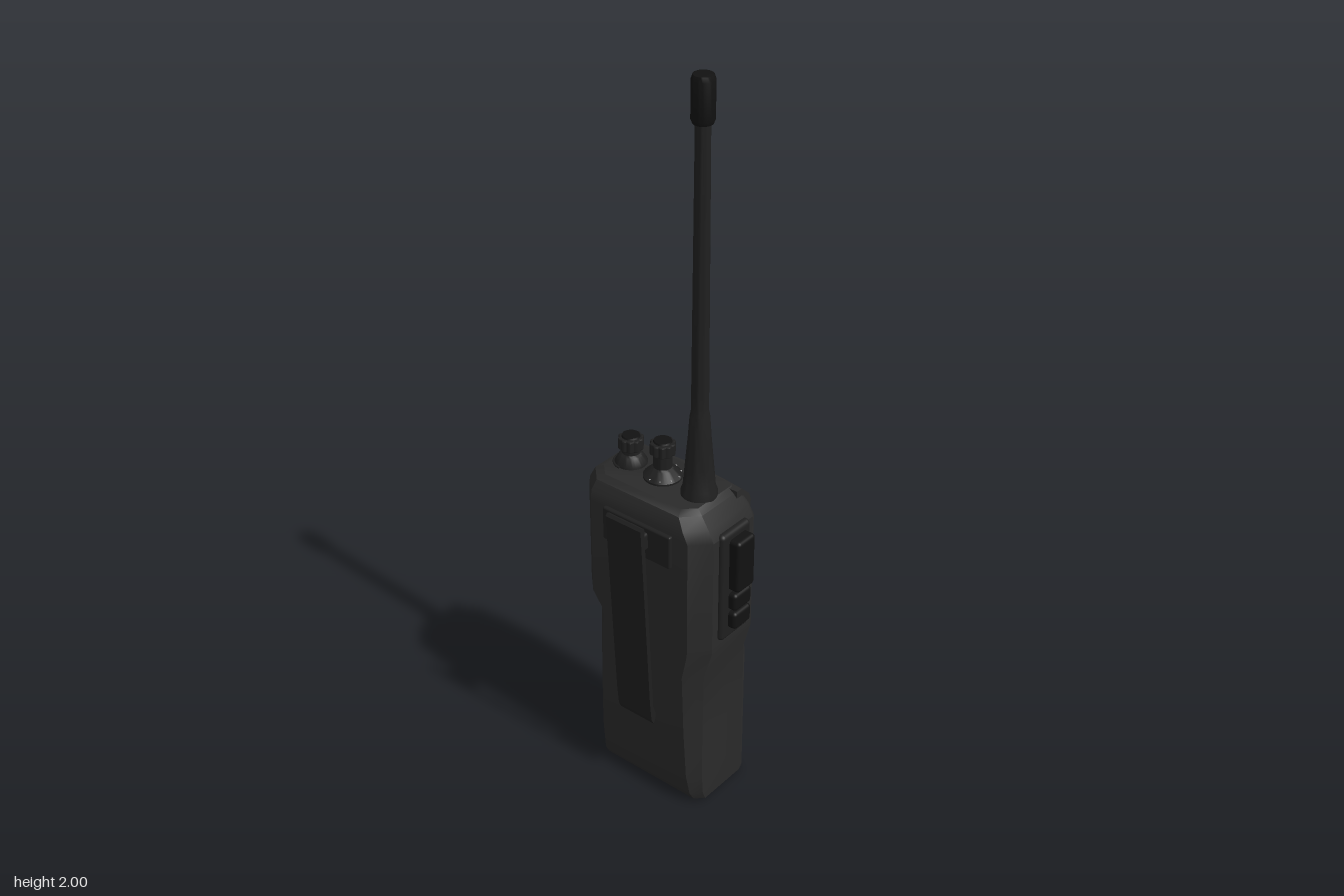
import * as THREE from 'three';
import { toCreasedNormals } from 'three/addons/utils/BufferGeometryUtils.js';
import { RoundedBoxGeometry } from 'three/addons/geometries/RoundedBoxGeometry.js';

const paint = (color) => new THREE.MeshStandardMaterial({ color });
const shell = paint(0x2a2a2a);
const rubber = paint(0x1f1f1f);
const black = paint(0x121212);
const metal = paint(0x999999);

function add(parent, name, geometry, material, x = 0, y = 0, z = 0) {
  const mesh = new THREE.Mesh(geometry, material);
  mesh.name = name;
  mesh.position.set(x, y, z);
  parent.add(mesh);
  return mesh;
}

// Rounded block given by its ranges along each axis
function block(parent, name, [x0, x1], [y0, y1], [z0, z1], r, material) {
  const g = new RoundedBoxGeometry(x1 - x0, y1 - y0, z1 - z0, 3, r);
  return add(parent, name, g, material, (x0 + x1) / 2, (y0 + y1) / 2, (z0 + z1) / 2);
}

// Skin through horizontal rings { y, pts: [[x, z], ...] }, capped at both ends
function loft(rings, crease = 0.5) {
  const n = rings[0].pts.length, pos = [], idx = [];
  for (const { y, pts } of rings) for (const [x, z] of pts) pos.push(x, y, z);
  for (let i = 0; i < rings.length - 1; i++) {
    for (let j = 0; j < n; j++) {
      const k = (j + 1) % n, a = i * n + j, b = i * n + k;
      idx.push(a, b, b + n, a, b + n, a + n);
    }
  }
  const last = (rings.length - 1) * n;
  for (let j = 1; j < n - 1; j++) idx.push(last, last + j, last + j + 1, 0, j + 1, j);
  const g = new THREE.BufferGeometry();
  g.setAttribute('position', new THREE.Float32BufferAttribute(pos, 3));
  g.setIndex(idx);
  return toCreasedNormals(g, crease);
}

// Case section: chamfered at the back (c), small rounding at the front (r)
function caseRing(y, xb, xf, z0, z1, c, r = 0.012) {
  return { y, pts: [
    [xf, z1 - r], [xf, z0 + r], [xf - r * 0.3, z0 + r * 0.3], [xf - r, z0],
    [xb + c, z0], [xb, z0 + c], [xb, z1 - c], [xb + c, z1],
    [xf - r, z1], [xf - r * 0.3, z1 - r * 0.3],
  ] };
}

// Face section: a shallow bow from z1 to z0
function faceRing(y, edge, bulge, z0 = -0.165, z1 = 0.145) {
  const pts = [], n = 14;
  for (let i = 0; i <= n; i++) {
    const t = (2 * i) / n - 1;
    pts.push([edge + bulge * (1 - t * t), z1 + ((z0 - z1) * i) / n]);
  }
  pts.push([0.08, z0], [0.08, z1]);
  return { y, pts };
}

const lathe = (profile, seg = 32) =>
  toCreasedNormals(new THREE.LatheGeometry(profile.map(([r, y]) => new THREE.Vector2(r, y)), seg), 0.6);

// Fluted knob on a neck and collar
function knob(parent, name, z, top, collar) {
  const g = new THREE.Group();
  g.name = name;
  g.position.set(0.018, 0, z);
  parent.add(g);
  add(g, 'collar', lathe([[collar, 0.91], [collar, 0.925], [0.03, 0.945], [0.024, 0.95], [0.024, top - 0.03], [0, top - 0.03]]), rubber);
  const shape = new THREE.Shape();
  for (let i = 0; i <= 80; i++) {
    const a = (i / 80) * Math.PI * 2, r = 0.028 + 0.002 * Math.cos(a * 10);
    shape[i ? 'lineTo' : 'moveTo'](r * Math.cos(a), r * Math.sin(a));
  }
  const grip = new THREE.ExtrudeGeometry(shape, { depth: 0.026, bevelSize: 0.003, bevelThickness: 0.003, bevelSegments: 2 });
  grip.rotateX(-Math.PI / 2);
  add(g, 'grip', grip, rubber, 0, top - 0.033, 0);
  add(g, 'cap', new THREE.CylinderGeometry(0.022, 0.024, 0.004, 24), black, 0, top, 0);
  return g;
}

export function createModel() {
  const radio = new THREE.Group();
  radio.name = 'handheldRadio';

  // Case: narrow battery below, wider head above
  add(radio, 'case', loft([
    caseRing(0, -0.055, 0.108, -0.178, 0.152, 0.02),
    caseRing(0.008, -0.068, 0.112, -0.184, 0.158, 0.022),
    caseRing(0.035, -0.083, 0.113, -0.185, 0.159, 0.025),
    caseRing(0.1, -0.093, 0.113, -0.185, 0.159, 0.03),
    caseRing(0.25, -0.098, 0.113, -0.185, 0.159, 0.035),
    caseRing(0.43, -0.1, 0.113, -0.185, 0.159, 0.04),
    caseRing(0.51, -0.1, 0.113, -0.186, 0.18, 0.045),
    caseRing(0.53, -0.1, 0.113, -0.192, 0.18, 0.045),
    caseRing(0.57, -0.1, 0.113, -0.221, 0.18, 0.045),
    caseRing(0.85, -0.1, 0.113, -0.221, 0.18, 0.045),
    caseRing(0.88, -0.098, 0.112, -0.22, 0.163, 0.045),
    caseRing(0.908, -0.085, 0.108, -0.208, 0.135, 0.04),
    caseRing(0.92, -0.068, 0.1, -0.185, 0.118, 0.03),
  ]), shell);

  // Face panel: flat below, swelling out under the grille, and a sloped brow above it
  add(radio, 'lowerFace', loft([
    faceRing(0.002, 0.116, 0, -0.165, 0.15), faceRing(0.01, 0.122, 0, -0.165, 0.15),
    faceRing(0.4, 0.122, 0, -0.165, 0.15), faceRing(0.43, 0.124, 0.003),
    faceRing(0.52, 0.135, 0.012), faceRing(0.545, 0.137, 0.016), faceRing(0.564, 0.137, 0.016),
  ]), shell);
  add(radio, 'brow', loft([
    faceRing(0.836, 0.137, 0.016), faceRing(0.87, 0.137, 0.014),
    faceRing(0.89, 0.129, 0.013), faceRing(0.918, 0.098, 0.012),
  ]), shell);

  // Speaker grille: light backing, side posts and bowed louvres
  add(radio, 'grilleBacking', new THREE.BoxGeometry(0.006, 0.28, 0.24), metal, 0.112, 0.7, -0.01);
  for (const [z0, z1] of [[-0.165, -0.127], [0.106, 0.145]]) {
    add(radio, 'grillePost', new THREE.BoxGeometry(0.045, 0.274, z1 - z0), shell, 0.1135, 0.7, (z0 + z1) / 2);
  }
  for (let i = 0; i < 6; i++) {
    const y = 0.8025 - 0.041 * i;
    add(radio, 'grilleLouvre', loft([
      faceRing(y - 0.0075, 0.138, 0.014, -0.152, 0.125), faceRing(y - 0.005, 0.141, 0.014, -0.152, 0.125),
      faceRing(y + 0.005, 0.141, 0.014, -0.152, 0.125), faceRing(y + 0.0075, 0.138, 0.014, -0.152, 0.125),
    ]), shell);
  }

  // Push-to-talk pad and buttons
  block(radio, 'talkPad', [-0.033, 0.08], [0.54, 0.86], [0.165, 0.192], 0.012, rubber);
  block(radio, 'talkButton', [-0.007, 0.06], [0.69, 0.84], [0.175, 0.222], 0.01, black);
  for (const y of [0.63, 0.573]) {
    block(radio, 'sideButton', [-0.007, 0.06], [y, y + 0.05], [0.175, 0.214], 0.01, black);
  }

  // Accessory socket on the opposite side: frame, cover and screw
  const frame = new THREE.Shape([[-0.06, 0.57], [0.06, 0.57], [0.06, 0.83], [-0.06, 0.83]].map((p) => new THREE.Vector2(...p)));
  frame.holes.push(new THREE.Path([[-0.048, 0.585], [-0.048, 0.818], [0.048, 0.818], [0.048, 0.585]].map((p) => new THREE.Vector2(...p))));
  add(radio, 'socketFrame', new THREE.ExtrudeGeometry(frame, { depth: 0.012, bevelEnabled: false }), shell, 0.035, 0, -0.226);
  add(radio, 'socketPlate', new THREE.BoxGeometry(0.1, 0.235, 0.004), black, 0.035, 0.702, -0.221);
  const cover = new THREE.Shape([[-0.034, 0.8], [-0.034, 0.74], [-0.014, 0.66], [0.014, 0.66], [0.034, 0.74], [0.034, 0.8]].map((p) => new THREE.Vector2(...p)));
  add(radio, 'socketCover', new THREE.ExtrudeGeometry(cover, { depth: 0.008, bevelEnabled: false }), rubber, 0.035, 0, -0.229);
  add(radio, 'socketScrew', new THREE.CylinderGeometry(0.018, 0.018, 0.008, 24).rotateX(Math.PI / 2), black, 0.035, 0.77, -0.23);

  // Antenna with flared boot and tip
  add(radio, 'antenna', lathe([
    [0.046, 0.9], [0.046, 0.93], [0.041, 0.942], [0.036, 1.0], [0.029, 1.08], [0.025, 1.14],
    [0.022, 1.155], [0.0215, 1.2], [0.018, 1.89], [0, 1.89],
  ]), rubber, 0.016, 0, 0.077);
  add(radio, 'antennaTip', lathe([
    [0, 1.885], [0.024, 1.885], [0.028, 1.895], [0.028, 1.985], [0.024, 1.997], [0, 2.0],
  ]), black, 0.016, 0, 0.077);

  // Channel knob with dial ticks, volume knob with a raised arc
  const channel = knob(radio, 'channelKnob', -0.04, 1.023, 0.05);
  for (let i = 0; i < 7; i++) {
    const a = -0.5 + i * 0.62;
    const tick = add(channel, 'dialTick', new THREE.BoxGeometry(0.008, 0.002, 0.003), metal, 0.044 * Math.cos(a), 0.93, 0.044 * Math.sin(a));
    tick.rotation.y = -a;
  }
  const volume = knob(radio, 'volumeKnob', -0.143, 0.998, 0.042);
  add(volume, 'volumeArc', new THREE.TorusGeometry(0.044, 0.003, 8, 32, Math.PI).rotateX(-Math.PI / 2), rubber, 0, 0.922, 0);

  // Belt clip: mount, hinge and a long leaning arm with a hooked foot
  block(radio, 'clipMount', [-0.11, -0.09], [0.76, 0.855], [-0.13, 0.087], 0.005, rubber);
  block(radio, 'clipHinge', [-0.142, -0.1], [0.79, 0.84], [-0.06, 0.018], 0.008, rubber);
  const arm = new THREE.Shape([
    [-0.157, 0.875], [-0.151, 0.882], [-0.143, 0.878], [-0.135, 0.7], [-0.113, 0.3], [-0.104, 0.275],
    [-0.104, 0.255], [-0.112, 0.243], [-0.12, 0.26], [-0.126, 0.32], [-0.147, 0.7],
  ].map((p) => new THREE.Vector2(...p)));
  add(radio, 'clipArm', new THREE.ExtrudeGeometry(arm, { depth: 0.112, bevelEnabled: false }), rubber, 0, 0, -0.077);

  // Charging contacts underneath
  for (const z of [-0.12, 0.1]) {
    add(radio, 'chargingContact', new THREE.CylinderGeometry(0.01, 0.01, 0.004, 20), metal, 0.03, 0.002, z);
  }
  return radio;
}
